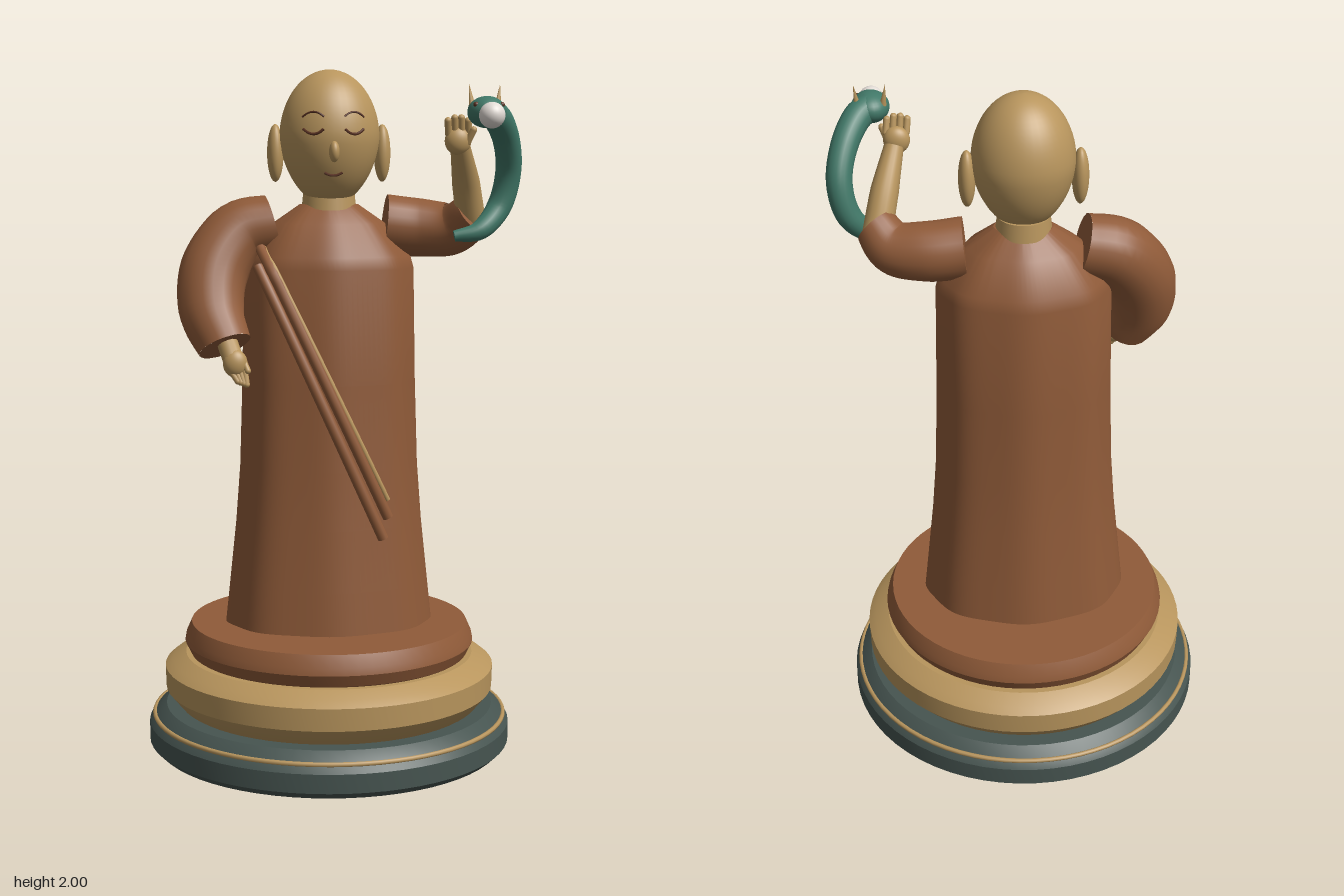
import * as THREE from 'three';
import { toCreasedNormals } from 'three/addons/utils/BufferGeometryUtils.js';

const V = (x, y, z) => new THREE.Vector3(x, y, z);
const paint = (name, color) => {
  const m = new THREE.MeshStandardMaterial({ color });
  m.name = name;
  return m;
};

export function createModel() {
  const root = new THREE.Group();
  root.name = 'statue';
  const robe = paint('robe brown', 0x905b39);
  const gold = paint('old gold', 0xb8955d);
  const slate = paint('dark slate', 0x465450);
  const teal = paint('jade teal', 0x417868);
  const pearl = paint('pearl white', 0xe3dcd6);
  const line = paint('dark brown', 0x5a3222);

  const add = (name, geo, mat, parent = root) => {
    const m = new THREE.Mesh(geo, mat);
    m.name = name;
    parent.add(m);
    return m;
  };
  const group = (name) => {
    const g = new THREE.Group();
    g.name = name;
    root.add(g);
    return g;
  };
  const lathe = (pts, seg = 64) => new THREE.LatheGeometry(pts.map(([r, y]) => new THREE.Vector2(r, y)), seg);
  const turned = (name, pts, mat) => add(name, toCreasedNormals(lathe(pts), 0.45), mat);
  const ball = (name, p, s, mat, parent) => {
    const m = add(name, new THREE.SphereGeometry(1, 28, 20), mat, parent);
    m.position.copy(p);
    m.scale.set(...s);
    return m;
  };

  // Tube with a radius that varies along its path, closed by flat discs
  const sweep = (name, path, radii, mat, parent, seg = 28, sides = 20) => {
    const curve = new THREE.CatmullRomCurve3(path);
    const geo = new THREE.TubeGeometry(curve, seg, 1, sides);
    const pos = geo.attributes.position, v = V(0, 0, 0);
    const radiusAt = (t) => {
      const f = t * (radii.length - 1), i = Math.min(Math.floor(f), radii.length - 2);
      return THREE.MathUtils.lerp(radii[i], radii[i + 1], f - i);
    };
    for (let i = 0; i <= seg; i++) {
      const c = curve.getPointAt(i / seg);
      for (let j = 0; j <= sides; j++) {
        const k = i * (sides + 1) + j;
        v.fromBufferAttribute(pos, k).sub(c).multiplyScalar(radiusAt(i / seg)).add(c);
        pos.setXYZ(k, v.x, v.y, v.z);
      }
    }
    add(name, geo, mat, parent);
    for (const t of [0, 1]) {
      const disc = add(name + 'End', new THREE.CircleGeometry(radiusAt(t), sides), mat, parent);
      disc.position.copy(curve.getPointAt(t));
      disc.lookAt(curve.getTangentAt(t).multiplyScalar(t ? 1 : -1).add(disc.position));
    }
  };
  // Straight round-ended limb between two points
  const capsule = (name, a, b, r, mat, parent) => {
    const m = add(name, new THREE.CapsuleGeometry(r, a.distanceTo(b), 6, 12), mat, parent);
    m.position.copy(a).lerp(b, 0.5);
    m.quaternion.setFromUnitVectors(V(0, 1, 0), b.clone().sub(a).normalize());
  };

  // Stepped round pedestal
  turned('plinth', [[0, 0], [0.52, 0], [0.541, 0.02], [0.541, 0.075], [0.525, 0.1], [0.49, 0.127], [0, 0.13]], slate);
  const rim = add('plinthRim', new THREE.TorusGeometry(0.525, 0.007, 8, 72), gold);
  rim.rotation.x = Math.PI / 2;
  rim.position.y = 0.098;
  turned('pedestalBand', [[0.43, 0.12], [0.45, 0.132], [0.49, 0.18], [0.492, 0.245], [0.47, 0.262], [0.43, 0.282], [0, 0.282]], gold);
  turned('pedestalTop', [[0.4, 0.275], [0.415, 0.285], [0.432, 0.32], [0.428, 0.34], [0.412, 0.376], [0, 0.376]], robe);

  // Robe: oval, softly fluted
  const profile = [[0.31, 0.37], [0.296, 0.5], [0.277, 0.68], [0.264, 0.85], [0.256, 1.1], [0.25, 1.43],
    [0.24, 1.465], [0.165, 1.56], [0.085, 1.615], [0, 1.62]];
  const OVAL = 0.73;
  const flute = (x, z) => 0.985 + 0.015 * Math.cos(8 * Math.atan2(z, x));
  const robeGeo = lathe(profile, 96), rp = robeGeo.attributes.position;
  for (let i = 0; i < rp.count; i++) {
    const x = rp.getX(i), z = rp.getZ(i), k = flute(x, z);
    rp.setXYZ(i, x * k, rp.getY(i), z * k * OVAL);
  }
  add('robeBody', toCreasedNormals(robeGeo, 0.45), robe);
  const robeZ = (x, y) => {
    const i = Math.max(1, profile.findIndex((p) => p[1] >= y));
    const [r0, y0] = profile[i - 1], [r1, y1] = profile[i];
    const r = r0 + (r1 - r0) * (y - y0) / (y1 - y0);
    return OVAL * Math.sqrt(Math.max(0, r * r - x * x));
  };

  // Sash: strands that follow the front of the robe
  const sash = group('sash');
  const strand = (name, x0, y0, x1, y1, r, mat) => {
    const pts = [];
    for (let i = 0; i <= 12; i++) {
      const t = i / 12, x = x0 + (x1 - x0) * t, y = y0 + (y1 - y0) * t;
      pts.push(V(x, y, robeZ(x, y) + r * 0.4));
    }
    sweep(name, pts, [r, r], mat, sash, 32, 10);
  };
  strand('sashTrim', -0.2, 1.5, 0.155, 0.765, 0.008, gold);
  strand('sashFold', -0.205, 1.49, 0.155, 0.715, 0.016, robe);
  strand('sashFold', -0.215, 1.44, 0.14, 0.655, 0.016, robe);

  // Head: egg shape, narrower toward the chin
  const HX = 0.145, HY = 0.195, CY = 1.805, CZ = 0.015;
  const jaw = (n) => 1 - 0.1 * Math.max(0, -n);
  const head = group('head');
  const skull = new THREE.SphereGeometry(1, 40, 32), sp = skull.attributes.position;
  for (let i = 0; i < sp.count; i++) {
    const n = sp.getY(i), k = HX * jaw(n);
    sp.setXYZ(i, sp.getX(i) * k, CY + n * HY, CZ + sp.getZ(i) * k);
  }
  skull.computeVertexNormals();
  add('skull', skull, gold, head);
  const faceZ = (x, y) => {
    const n = (y - CY) / HY, k = HX * jaw(n);
    return CZ + k * Math.sqrt(Math.max(0, 1 - n * n - (x / k) ** 2));
  };
  const neck = add('neck', new THREE.CylinderGeometry(0.075, 0.085, 0.1, 32), gold, head);
  neck.position.y = 1.6;
  // Thin curved lines lying on the face
  const stroke = (name, x, y, w, bend, r, mat) => {
    const pts = [-1, -0.5, 0, 0.5, 1].map((t) => {
      const px = x + t * w, py = y + bend * (1 - t * t);
      return V(px, py, faceZ(px, py) + 0.001);
    });
    add(name, new THREE.TubeGeometry(new THREE.CatmullRomCurve3(pts), 14, r, 6), mat, head);
  };
  for (const s of [-1, 1]) {
    stroke('brow', s * 0.058, 1.862, 0.03, 0.014, 0.003, line);
    stroke('closedEye', s * 0.058, 1.828, 0.028, -0.014, 0.004, line);
    ball('ear', V(s * 0.156, 1.762, 0), [0.024, 0.083, 0.034], gold, head);
  }
  stroke('mouth', 0, 1.706, 0.026, -0.008, 0.004, line);
  ball('nose', V(0, 1.765, 0.155), [0.015, 0.03, 0.022], gold, head);

  // Lowered right arm with wide sleeve
  const rightArm = group('rightArm');
  sweep('rightSleeve', [V(-0.165, 1.555, -0.005), V(-0.26, 1.53, 0), V(-0.335, 1.43, 0.04), V(-0.347, 1.31, 0.09), V(-0.312, 1.215, 0.135)],
    [0.088, 0.097, 0.1, 0.095, 0.078], robe, rightArm);
  capsule('rightWrist', V(-0.31, 1.24, 0.14), V(-0.292, 1.185, 0.17), 0.03, gold, rightArm);
  ball('rightPalm', V(-0.285, 1.17, 0.18), [0.035, 0.04, 0.026], gold, rightArm);
  for (let i = 0; i < 4; i++) {
    const o = (i - 1.5) * 0.014;
    capsule('rightFinger', V(-0.28 + o, 1.155, 0.185), V(-0.266 + o * 0.6, 1.12 - 0.003 * i, 0.195), 0.009, gold, rightArm);
  }
  capsule('rightThumb', V(-0.262, 1.18, 0.18), V(-0.25, 1.15, 0.195), 0.009, gold, rightArm);

  // Raised left arm
  const leftArm = group('leftArm');
  sweep('leftSleeve', [V(0.165, 1.555, -0.005), V(0.27, 1.545, -0.002), V(0.365, 1.545, 0.03), V(0.412, 1.59, 0.075)],
    [0.088, 0.086, 0.078, 0.062], robe, leftArm);
  sweep('leftForearm', [V(0.408, 1.57, 0.065), V(0.385, 1.67, 0.115), V(0.353, 1.78, 0.19)], [0.043, 0.04, 0.028], gold, leftArm);
  ball('leftPalm', V(0.345, 1.795, 0.2), [0.038, 0.04, 0.027], gold, leftArm);
  for (let i = 0; i < 4; i++) {
    const x = 0.317 + i * 0.019;
    capsule('leftFinger', V(x, 1.815, 0.205), V(x - 0.004, 1.85 + (i % 3 ? 0.008 : 0), 0.217), 0.01, gold, leftArm);
  }
  capsule('leftThumb', V(0.37, 1.79, 0.21), V(0.385, 1.825, 0.222), 0.01, gold, leftArm);

  // Small horned serpent coiled behind the raised arm, holding a pearl
  const serpent = group('serpent');
  sweep('serpentBody', [V(0.35, 1.525, 0.125), V(0.42, 1.54, 0.13), V(0.485, 1.61, 0.1), V(0.508, 1.71, 0.11), V(0.49, 1.8, 0.16), V(0.45, 1.86, 0.22), V(0.417, 1.875, 0.25)],
    [0.016, 0.03, 0.036, 0.037, 0.038, 0.04, 0.042], teal, serpent, 40);
  ball('serpentHead', V(0.415, 1.873, 0.258), [0.054, 0.044, 0.062], teal, serpent);
  ball('pearl', V(0.414, 1.862, 0.342), [0.036, 0.036, 0.036], pearl, serpent);
  for (const s of [-1, 1]) {
    const horn = add('horn', new THREE.ConeGeometry(0.01, 0.065, 10), gold, serpent);
    horn.position.set(0.415 + s * 0.04, 1.92, 0.225);
    horn.rotation.set(-0.15, 0, -s * 0.12);
    ball('serpentEye', V(0.415 + s * 0.036, 1.892, 0.29), [0.008, 0.008, 0.008], line, serpent);
  }
  return root;
}
